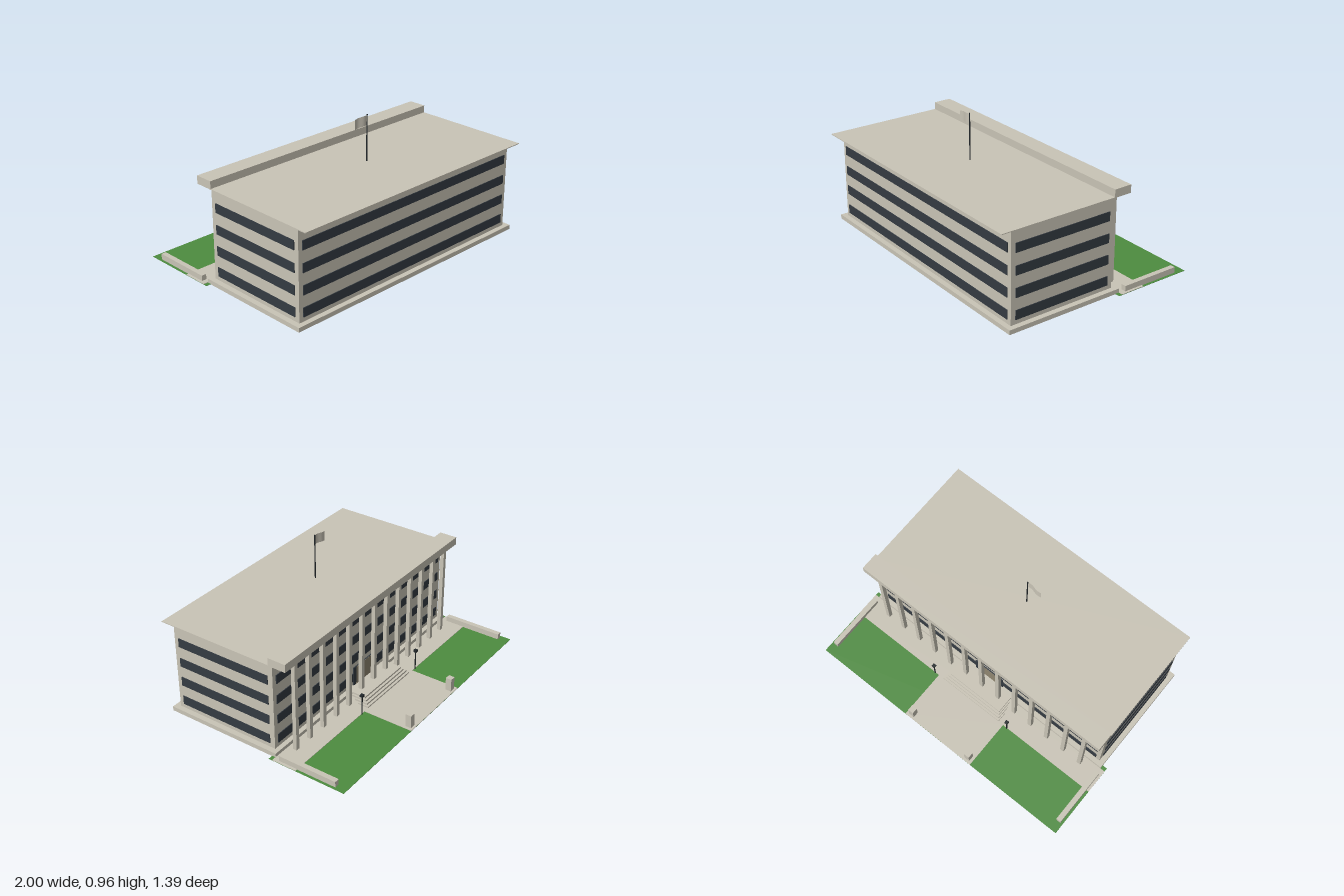
import * as THREE from 'three';

const paint = (name, color) => {
  const m = new THREE.MeshStandardMaterial({ color });
  m.name = name;
  return m;
};

export function createModel() {
  const model = new THREE.Group();
  model.name = 'officeBuilding';

  const stone = paint('stone', 0xc9c4b6);
  const glass = paint('darkGlass', 0x343b42);
  const grass = paint('grass', 0x4e8c40);
  const metal = paint('darkMetal', 0x22282b);
  const bronze = paint('doorBronze', 0x8f8570);

  // Box given by its extents on each axis
  const block = (name, mat, [x0, x1], [y0, y1], [z0, z1]) => {
    const mesh = new THREE.Mesh(new THREE.BoxGeometry(x1 - x0, y1 - y0, z1 - z0), mat);
    mesh.position.set((x0 + x1) / 2, (y0 + y1) / 2, (z0 + z1) / 2);
    mesh.name = name;
    model.add(mesh);
    return mesh;
  };

  // Main volume
  block('base', stone, [-0.966, 0.966], [0, 0.03], [-0.177, 0.65]);
  block('walls', stone, [-0.93, 0.93], [0.03, 0.636], [-0.145, 0.615]);
  block('roof', stone, [-0.948, 0.948], [0.635, 0.64], [-0.145, 0.695]);
  block('parapet', stone, [-0.948, 0.948], [0.636, 0.69], [-0.255, -0.13]);

  // Window bands on all four sides
  for (const [y0, y1] of [[0.06, 0.122], [0.202, 0.265], [0.345, 0.406], [0.488, 0.549]]) {
    block('frontWindows', glass, [-0.9, 0.9], [y0, y1], [0.613, 0.62]);
    block('backWindows', glass, [-0.9, 0.9], [y0, y1], [-0.15, -0.143]);
    block('leftWindows', glass, [0.928, 0.935], [y0, y1], [-0.11, 0.583]);
    block('rightWindows', glass, [-0.935, -0.928], [y0, y1], [-0.11, 0.583]);
  }

  // Colonnade
  for (let i = 0; i < 13; i++) {
    const x = -0.83 + (i * 1.66) / 12;
    block('column', stone, [x - 0.014, x + 0.014], [0, 0.637], [-0.241, -0.214]);
  }

  // Entrance
  block('doorFrame', glass, [-0.115, 0.115], [0.03, 0.165], [-0.153, -0.143]);
  block('door', bronze, [-0.09, 0.09], [0.03, 0.163], [-0.155, -0.15]);

  // Lawn and paving
  block('lawn', grass, [-1, 1], [0.001, 0.003], [-0.7, -0.15]);
  block('terrace', stone, [-1, 1], [0.003, 0.006], [-0.35, -0.176]);
  block('path', stone, [-0.28, 0.28], [0.003, 0.006], [-0.7, -0.35]);

  // Steps, narrowing as they rise
  for (let i = 0; i < 4; i++) {
    const w = 0.24 - i * 0.01;
    block('step', stone, [-w, w], [0.004 + i * 0.0135, 0.0155 + i * 0.0135],
      [-0.35 + i * 0.015, -0.27 + i * 0.03]);
  }

  // Side walls, gate piers and lamps, mirrored
  for (const s of [-1, 1]) {
    const span = (c, h) => [s * c - h, s * c + h];
    block('gardenWall', stone, span(0.966, 0.017), [0, 0.042], [-0.628, -0.214]);
    block('gatePier', stone, span(0.24, 0.02), [0, 0.096], [-0.684, -0.643]);
    block('lampPost', metal, span(0.312, 0.003), [0.003, 0.14], [-0.355, -0.349]);
    block('lampHead', metal, span(0.312, 0.011), [0.138, 0.154], [-0.363, -0.341]);
  }

  // Flagpole
  const pole = new THREE.Mesh(new THREE.CylinderGeometry(0.004, 0.004, 0.31, 8), metal);
  pole.name = 'flagpole';
  pole.position.set(0, 0.81, 0.235);
  model.add(pole);

  // Waving flag
  const cloth = new THREE.PlaneGeometry(0.105, 0.066, 12, 1);
  cloth.translate(-0.0525, 0.927, 0.235);
  const p = cloth.attributes.position;
  for (let i = 0; i < p.count; i++) {
    const t = -p.getX(i) / 0.105;
    p.setY(i, p.getY(i) - 0.01 * t * t);
    p.setZ(i, p.getZ(i) + 0.005 * Math.sin(t * Math.PI * 2));
  }
  cloth.computeVertexNormals();
  const flagCloth = paint('flagCloth', 0xc9c4b6);
  flagCloth.side = THREE.DoubleSide;
  const flag = new THREE.Mesh(cloth, flagCloth);
  flag.name = 'flag';
  model.add(flag);

  return model;
}
